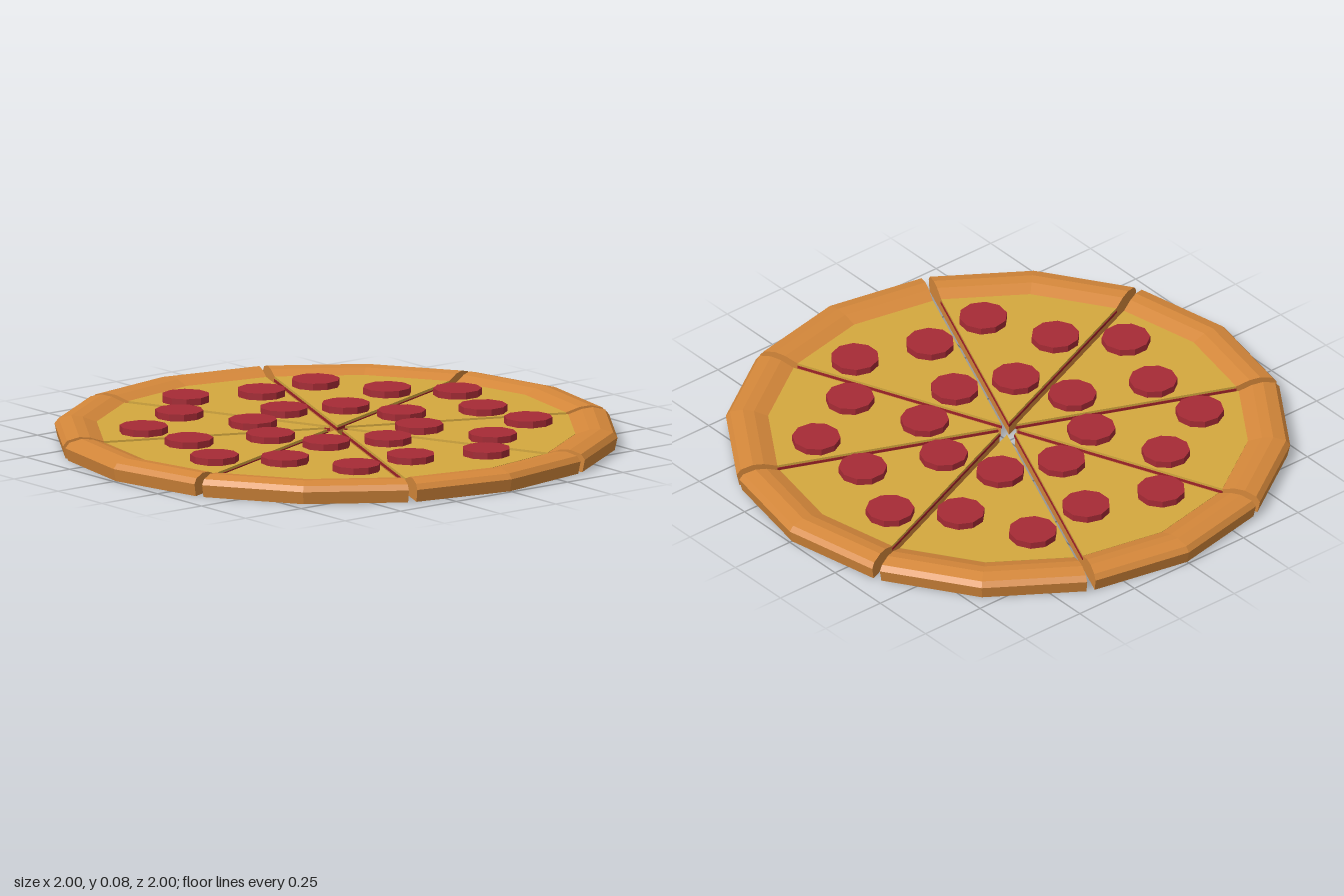
import * as THREE from 'three';

const SLICES = 8;
const HALF = Math.PI / SLICES;   // half the angle of one slice
const GAP = 0.04;                // each slice is pulled outward by this much
const INNER = 0.81;              // radius where the crust rim starts

// Flat wedge pointing to +z, with its tip on the origin
function wedge(radius, y, height) {
  const shape = new THREE.Shape([new THREE.Vector2(0, 0),
    ...[HALF, 0, -HALF].map(a => new THREE.Vector2(radius * Math.sin(a), radius * Math.cos(a)))]);
  const g = new THREE.ExtrudeGeometry(shape, { depth: height, bevelEnabled: false });
  return g.rotateX(-Math.PI / 2).rotateY(Math.PI).translate(0, y, 0);
}

export function createModel() {
  const mat = (name, color) => new THREE.MeshStandardMaterial({ name, color, flatShading: true });
  const crust = mat('crust', 0xd4873a);
  const sauce = mat('sauce', 0x9c2228);
  const cheese = mat('cheese', 0xd4a83e);
  const pepperoni = mat('pepperoni', 0xa62b35);

  // Closed rim section, from the outer bottom over the top to the inside
  const profile = [[INNER, 0], [0.95, 0], [0.96, 0.045], [0.945, 0.064], [0.9, 0.075],
    [0.86, 0.071], [INNER, 0.054]].map(p => new THREE.Vector2(...p));
  const rimGeo = new THREE.LatheGeometry([...profile, profile[0]], 2, -HALF, 2 * HALF);
  const capGeo = angle => {
    const g = new THREE.ShapeGeometry(new THREE.Shape(profile));
    if (angle > 0) g.index.array.reverse();
    return g.rotateY(angle - Math.PI / 2);
  };
  const caps = [capGeo(-HALF), capGeo(HALF)];

  const baseGeo = wedge(INNER, 0, 0.036);
  const sauceGeo = wedge(INNER + 0.006, 0.036, 0.01).translate(0, 0, -0.006);
  const cheeseGeo = wedge(INNER, 0.046, 0.009);
  const pepperoniGeo = new THREE.CylinderGeometry(0.086, 0.086, 0.025, 10);
  const spots = [[0.15, 0.665], [-0.115, 0.57], [0, 0.295]];

  const pizza = new THREE.Group();
  pizza.name = 'pizza';
  for (let i = 0; i < SLICES; i++) {
    const slice = new THREE.Group();
    slice.name = 'slice';
    const add = (name, geometry, material) => {
      const mesh = new THREE.Mesh(geometry, material);
      mesh.name = name;
      slice.add(mesh);
      return mesh;
    };
    // Layers
    add('base', baseGeo, crust);
    add('sauceLayer', sauceGeo, sauce);
    add('cheeseLayer', cheeseGeo, cheese);
    // Raised rim with its cut ends
    add('rim', rimGeo, crust);
    caps.forEach(c => add('rimEnd', c, crust));
    // Topping
    for (const [x, z] of spots) {
      add('pepperoni', pepperoniGeo, pepperoni).position.set(x, 0.067, z - GAP);
    }
    const angle = i * 2 * HALF;
    slice.rotation.y = angle;
    slice.position.set(GAP * Math.sin(angle), 0, GAP * Math.cos(angle));
    pizza.add(slice);
  }
  return pizza;
}
